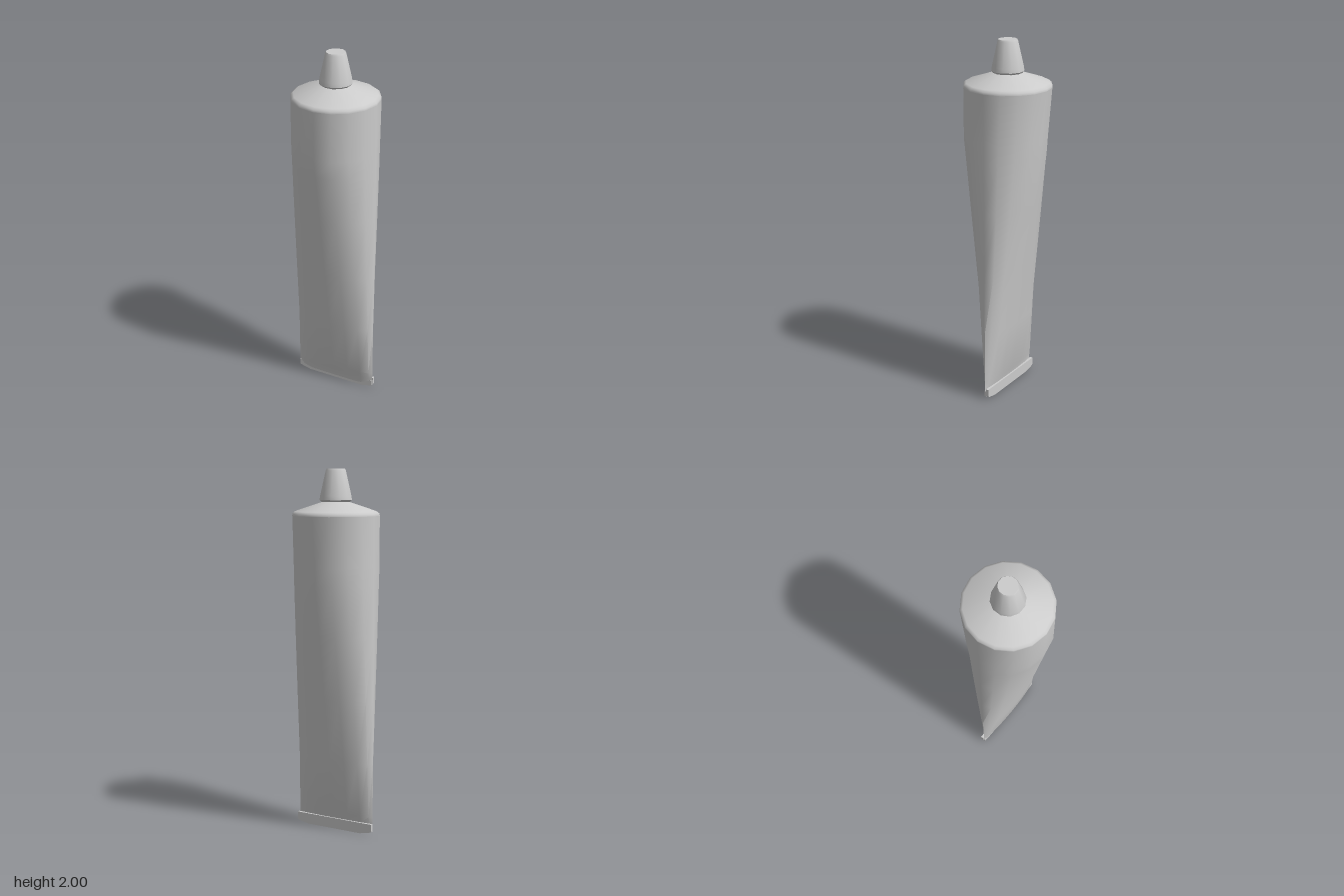
import * as THREE from 'three';
import { toCreasedNormals } from 'three/addons/utils/BufferGeometryUtils.js';

const SIDES = 16;

// Lofts closed rings, listed from bottom to top: [y, halfWidth, frontDepth, backDepth, roundness]
function loft(sections) {
  const pos = [], index = [];
  for (const [y, w, front, back, k] of sections) {
    for (let i = 0; i < SIDES; i++) {
      const a = (i / SIDES) * Math.PI * 2;
      const s = Math.sin(a), c = Math.cos(a);
      const z = Math.sign(s) * Math.pow(Math.abs(s), k) * (s > 0 ? front : back);
      pos.push(w * c, y, z);
    }
  }
  for (let r = 0; r < sections.length - 1; r++) {
    for (let i = 0; i < SIDES; i++) {
      const a = r * SIDES + i, b = r * SIDES + (i + 1) % SIDES;
      index.push(a, a + SIDES, b, b, a + SIDES, b + SIDES);
    }
  }
  // flat bottom fan
  for (let i = 1; i < SIDES - 1; i++) index.push(0, i, i + 1);
  const g = new THREE.BufferGeometry();
  g.setAttribute('position', new THREE.Float32BufferAttribute(pos, 3));
  g.setIndex(index);
  return g;
}

export function createModel() {
  const group = new THREE.Group();
  const material = new THREE.MeshStandardMaterial({ color: 0xcccccc });
  const add = (name, geometry, crease) => {
    const mesh = new THREE.Mesh(toCreasedNormals(geometry, crease), material);
    mesh.name = name;
    group.add(mesh);
    return mesh;
  };

  // Squeezable body: round at the shoulder, pinched flat at the bottom
  add('tubeBody', loft([
    [0.015, 0.238, 0.006, 0.01, 0.8],
    [0.06, 0.24, 0.014, 0.012, 0.8],
    [0.1, 0.24, 0.032, 0.03, 0.85],
    [0.4, 0.24, 0.077, 0.07, 0.88],
    [0.75, 0.24, 0.13, 0.118, 0.92],
    [1.1, 0.24, 0.182, 0.166, 0.96],
    [1.38, 0.24, 0.225, 0.204, 1],
    [1.48, 0.24, 0.24, 0.212, 1],
    [1.75, 0.24, 0.24, 0.238, 1],
  ]), 0.9);

  // Conical shoulder with a softened rim, and the neck under the cap
  const shoulder = [[0.24, 1.75], [0.239, 1.762], [0.225, 1.773], [0.085, 1.82], [0.07, 1.825], [0.07, 1.835]];
  add('shoulder', new THREE.LatheGeometry(shoulder.map(p => new THREE.Vector2(...p)), SIDES), 0.9);

  // Tapered screw cap
  const cap = [[0, 1.824], [0.08, 1.824], [0.09, 1.834], [0.087, 1.855], [0.056, 1.99], [0.051, 2], [0, 2]];
  const capGeometry = new THREE.LatheGeometry(cap.map(p => new THREE.Vector2(...p)), 12);
  capGeometry.rotateY(Math.PI / 12);
  add('cap', capGeometry, 0.8);

  // Crimped seam folded up along the back of the bottom edge
  const seam = new THREE.Shape([
    [-0.23, 0.014], [-0.17, 0.002], [0.17, 0.002], [0.23, 0.014],
    [0.242, 0.022], [0.242, 0.062], [-0.242, 0.062], [-0.242, 0.022],
  ].map(p => new THREE.Vector2(...p)));
  const seamGeometry = new THREE.ExtrudeGeometry(seam, { depth: 0.016, bevelEnabled: false });
  seamGeometry.translate(0, 0, -0.022);
  add('foldedSeam', seamGeometry, 0.5);

  // Thin flat strip below the pinch, in front of the fold
  const lip = new THREE.Shape([
    [-0.238, 0.016], [-0.17, 0], [0.17, 0], [0.238, 0.016], [0.238, 0.05], [-0.238, 0.05],
  ].map(p => new THREE.Vector2(...p)));
  const lipGeometry = new THREE.ExtrudeGeometry(lip, { depth: 0.012, bevelEnabled: false });
  lipGeometry.translate(0, 0, -0.007);
  add('bottomLip', lipGeometry, 0.5);

  return group;
}
